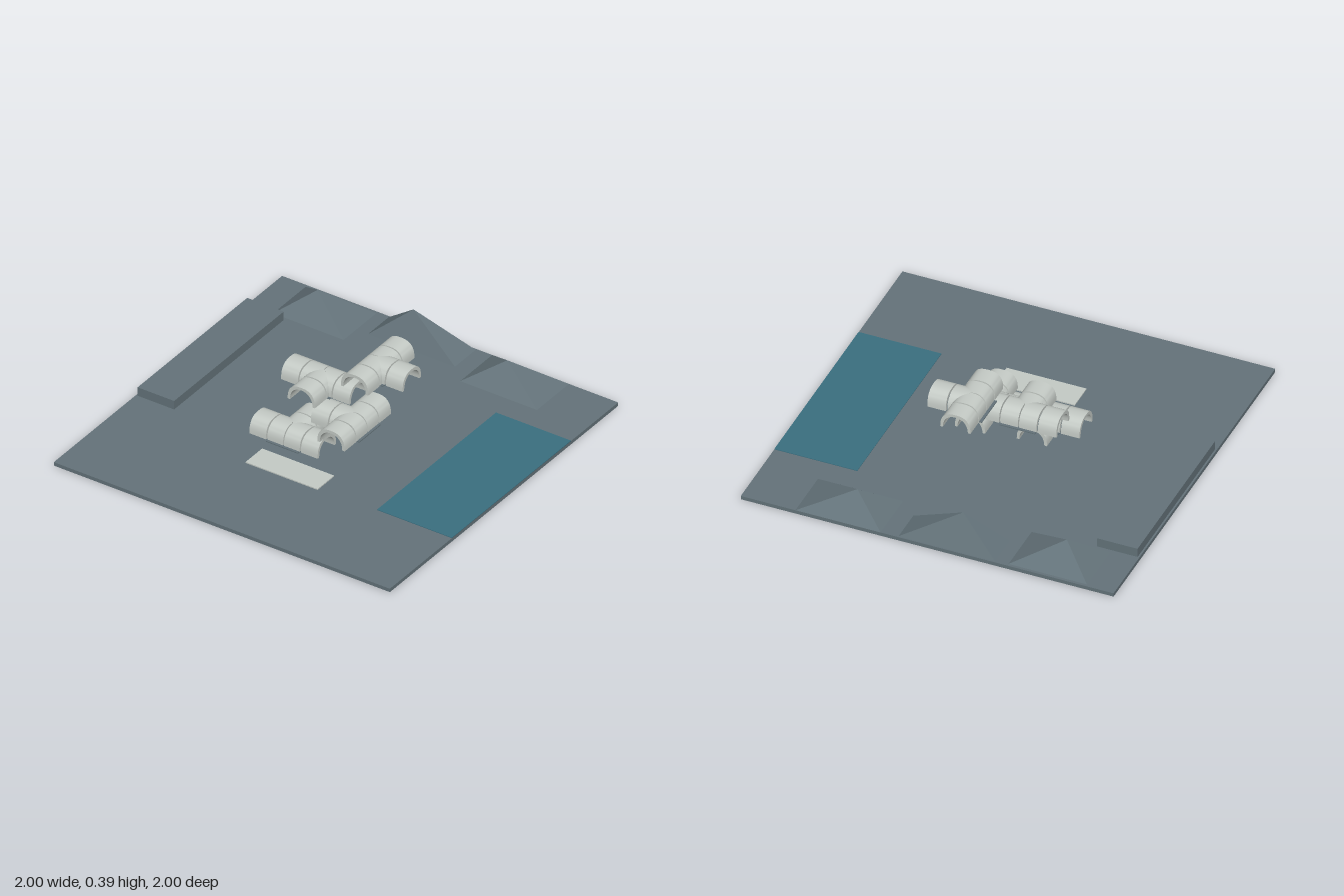
import * as THREE from 'three';
import { toCreasedNormals } from 'three/addons/utils/BufferGeometryUtils.js';
import { ConvexGeometry } from 'three/addons/geometries/ConvexGeometry.js';

const mat = (name, color, extra = {}) => {
  const m = new THREE.MeshStandardMaterial({ color, ...extra });
  m.name = name;
  return m;
};

// Half of a vault section: rounded-square outside, elliptical inside
const STEPS = 20;
const arc = (halfWidth, height, power) =>
  Array.from({ length: STEPS + 1 }, (_, i) => {
    const a = Math.PI * (1 - i / STEPS);
    const c = Math.cos(a), s = Math.max(0, Math.sin(a));
    return [halfWidth * Math.sign(c) * Math.abs(c) ** (2 / power), height * s ** (2 / power)];
  });
const OUTER = arc(0.081, 0.091, 2.6);
const INNER = arc(0.067, 0.076, 2.2);

// Vault shell along +z; startAt(x) lets the near end be mitred
function vault(startAt, end) {
  const ring = [...OUTER, ...[...INNER].reverse()];
  const n = ring.length;
  const pos = [], index = [];
  for (const [x, y] of ring) pos.push(x, y, startAt(x));
  for (const [x, y] of ring) pos.push(x, y, end);
  const quad = (a, b, c, d) => index.push(a, b, c, a, c, d);
  for (let i = 0; i < n; i++) {
    const j = (i + 1) % n;
    quad(i, n + i, n + j, j);
  }
  for (let i = 0; i < STEPS; i++) {
    const k = n - 1 - i;
    quad(n + i, n + k, n + k - 1, n + i + 1);
    quad(i, i + 1, k - 1, k);
  }
  const geo = new THREE.BufferGeometry();
  geo.setAttribute('position', new THREE.Float32BufferAttribute(pos, 3));
  geo.setIndex(index);
  return toCreasedNormals(geo, 0.6);
}

export function createModel() {
  const root = new THREE.Group();
  root.name = 'hillsideHousing';
  const slate = mat('slate', 0x64737a);
  const water = mat('water', 0x3a6f80);
  const concrete = mat('paleConcrete', 0xc5cbc6, { side: THREE.DoubleSide });

  const add = (parent, name, geo, material, x = 0, y = 0, z = 0) => {
    const mesh = new THREE.Mesh(geo, material);
    mesh.name = name;
    mesh.position.set(x, y, z);
    parent.add(mesh);
    return mesh;
  };
  const slab = (name, material, x0, x1, y0, y1, z0, z1) =>
    add(root, name, new THREE.BoxGeometry(x1 - x0, y1 - y0, z1 - z0), material,
      (x0 + x1) / 2, (y0 + y1) / 2, (z0 + z1) / 2);

  // Site
  slab('ground', slate, -1, 1, 0, 0.02, -1, 1);
  slab('waterSurface', water, 0.555, 1, 0.019, 0.023, -0.585, 0.457);
  slab('entrancePad', concrete, -0.215, 0.213, 0.019, 0.026, 0.33, 0.475);
  slab('sideTerrace', slate, -0.99, -0.773, 0.02, 0.07, -0.68, 0.28);

  // Hills: rectangular base and an off-centre peak
  const hills = [
    [-0.85, -0.43, -0.985, -0.70, -0.68, 0.145, -0.84],
    [-0.36, 0.157, -0.992, -0.81, -0.15, 0.195, -0.90],
    [0.25, 0.707, -1, -0.72, 0.435, 0.135, -0.86],
  ];
  for (const [x0, x1, z0, z1, px, py, pz] of hills) {
    const points = [[x0, 0.02, z0], [x1, 0.02, z0], [x1, 0.02, z1], [x0, 0.02, z1], [px, py, pz]];
    add(root, 'hill', new ConvexGeometry(points.map(p => new THREE.Vector3(...p))), slate);
  }

  // Shell pieces: vaulted crossing (mitred) and the end bay of each arm
  const core = 0.096, gap = 0.003;
  const bay = vault(() => 0.104, 0.203);
  const stemCore = vault(x => Math.abs(x), core);
  const arms = [
    ['stem', 0, stemCore],
    ['leftArm', Math.PI / 2, vault(x => (x < 0 ? -x : gap), core)],
    ['rightArm', -Math.PI / 2, vault(x => (x > 0 ? x : gap), core)],
  ];
  const floorGeo = new THREE.BoxGeometry(0.19, 0.005, 0.19);

  // Stacked T-shaped units: centre x, base y, centre z, stem direction
  const units = [
    [-0.142, 0.024, 0.17, Math.PI],
    [0.13, 0.115, 0.032, -Math.PI / 2],
    [-0.13, 0.205, -0.09, 0],
    [0.1, 0.296, -0.218, Math.PI / 2],
  ];
  units.forEach(([x, y, z, turn], level) => {
    const unit = new THREE.Group();
    unit.name = `vaultedUnit${level + 1}`;
    unit.position.set(x, y, z);
    unit.rotation.y = turn;
    root.add(unit);
    add(unit, 'floorPlate', floorGeo, slate);
    for (const [name, angle, coreGeo] of arms) {
      add(unit, `${name}Crossing`, coreGeo, concrete).rotation.y = angle;
      add(unit, `${name}EndBay`, bay, concrete).rotation.y = angle;
    }
  });
  return root;
}
